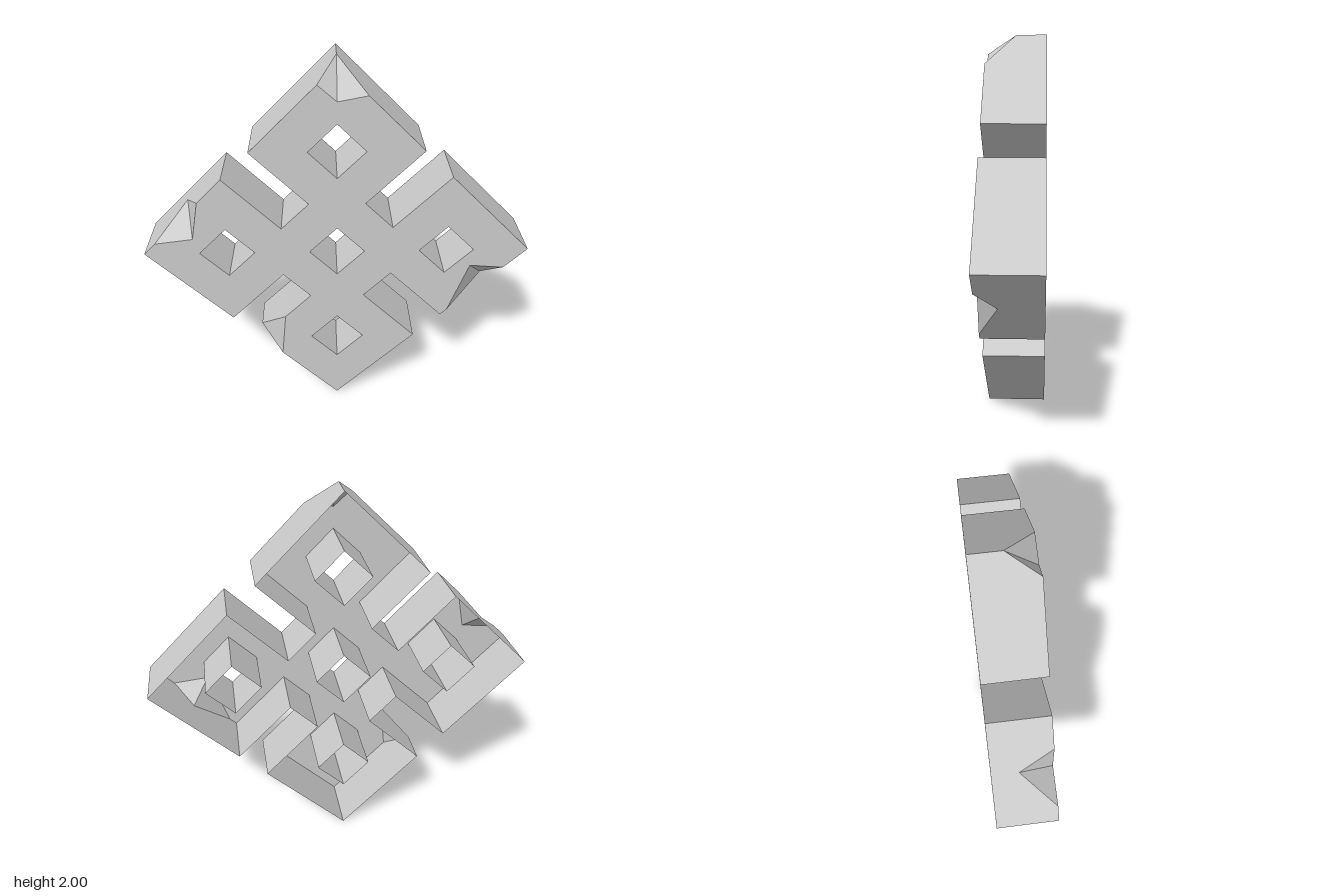
import * as THREE from 'three';

const F = 0.155; // half thickness: front at +F, open back at -F
const U = 1 / 7; // the whole outline sits on a grid of sevenths

export function createModel() {
  const group = new THREE.Group();
  const material = new THREE.MeshStandardMaterial({ color: 0xcccccc, flatShading: true, side: THREE.DoubleSide });
  const add = (name, geometry) => {
    const mesh = new THREE.Mesh(geometry, material);
    mesh.name = name;
    mesh.position.y = 1;
    group.add(mesh);
  };
  const fromTriangles = (points) => {
    const g = new THREE.BufferGeometry();
    g.setAttribute('position', new THREE.Float32BufferAttribute(points.flat(), 3));
    g.computeVertexNormals();
    return g;
  };

  // Chips in the front rim: start, deepest point on the wall, end, and the inner corner on the front face
  const chips = {
    5: { name: 'topChip', replace: true, start: [0.147, 0.853, F], deep: [0, 1, 0], end: [-0.093, 0.907, F], inner: [0, 0.825, F] },
    9: { name: 'rightArmChip', start: [-0.7, 0.3, F], deep: [-0.777, 0.223, -0.02], end: [-0.938, 0.062, F], inner: [-0.742, 0.087, F] },
    14: { name: 'bottomArmChip', replace: true, start: [-0.285, -0.428, F], deep: [-3 * U, -4 * U, 0.03], end: [-0.31, -0.69, F] },
    19: { name: 'leftArmChip', start: [0.605, -0.395, F], deep: [0.79, -0.21, 0.055], end: [0.885, -0.115, F], inner: [0.705, -0.1, F] },
  };

  // Rim of the outer wall: one quarter outline turned four times, with the chips spliced in
  const rim = [];
  const face = [];
  const quarter = [[7, 0], [4, 3], [2, 1], [1, 2], [3, 4]];
  for (let q = 0; q < 4; q++) {
    quarter.forEach(([a, b], i) => {
      const [x, y] = [[a, b], [-b, a], [-a, -b], [b, -a]][q];
      const corner = [x * U, y * U, F];
      const chip = chips[q * 5 + i];
      if (!chip || !chip.replace) {
        rim.push(corner);
        face.push(corner);
      }
      if (chip) {
        const { start, deep, end, inner } = chip;
        rim.push(start, deep, end);
        face.push(...(inner ? [start, inner, end] : [start, end]));
        add(chip.name, fromTriangles(inner
          ? [start, deep, inner, inner, deep, end]
          : [start, deep, end]));
      }
    });
  }

  // Wall strip from a rim path down to the open back
  const wall = (path) => {
    const points = [];
    path.forEach((a, i) => {
      const b = path[(i + 1) % path.length];
      const aBack = [a[0], a[1], -F];
      const bBack = [b[0], b[1], -F];
      points.push(a, aBack, bBack, a, bBack, b);
    });
    return fromTriangles(points);
  };
  add('outerWall', wall(rim));

  // Front plate with five diamond holes, each lined by a square tube
  const toVectors = (path) => path.map(([x, y]) => new THREE.Vector2(x, y));
  const shape = new THREE.Shape(toVectors(face));
  for (const [cx, cy] of [[0, 0], [4, 0], [-4, 0], [0, 4], [0, -4]]) {
    const hole = [[1, 0], [0, -1], [-1, 0], [0, 1]].map(([x, y]) => [(cx + x) * U, (cy + y) * U, F]);
    shape.holes.push(new THREE.Path(toVectors(hole)));
    add('holeWall', wall(hole));
  }
  add('frontPlate', new THREE.ShapeGeometry(shape).translate(0, 0, F));

  return group;
}
